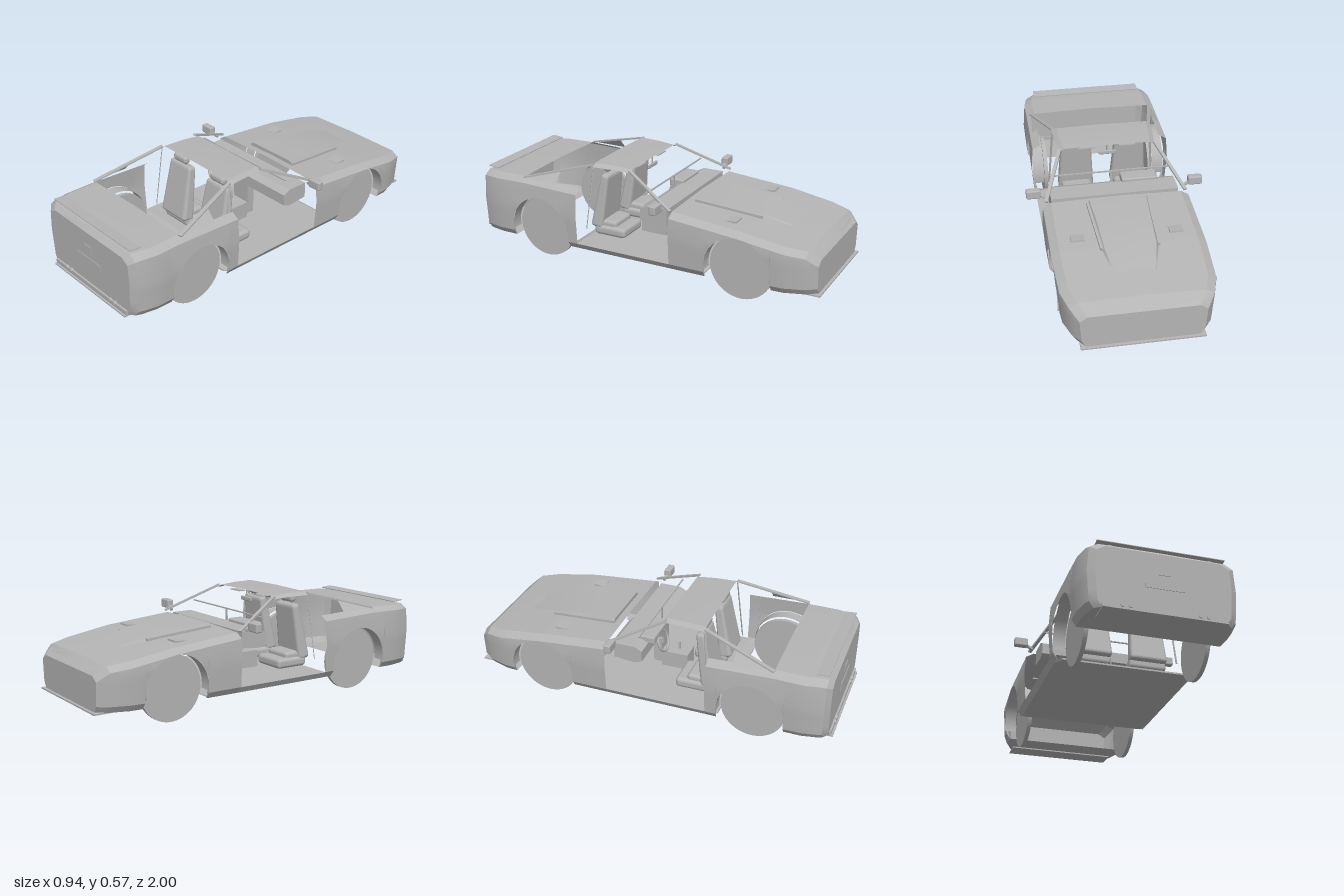
import * as THREE from 'three';
import { toCreasedNormals } from 'three/addons/utils/BufferGeometryUtils.js';
import { RoundedBoxGeometry } from 'three/addons/geometries/RoundedBoxGeometry.js';

const grey = new THREE.MeshStandardMaterial({ color: 0xb4b4b4, side: THREE.DoubleSide });
grey.name = 'plain grey';

// piecewise-linear lookup in [[key, value], ...]
function lerpTable(table, k) {
  if (k <= table[0][0]) return table[0][1];
  for (let i = 1; i < table.length; i++) {
    const [k0, v0] = table[i - 1], [k1, v1] = table[i];
    if (k <= k1) return v0 + (v1 - v0) * (k - k0) / (k1 - k0);
  }
  return table[table.length - 1][1];
}

// Skin cross-sections (z ascending, points running from -x over the top to +x).
function loft(sections, { skip = () => false, capStart = false, capEnd = false, closed = () => false } = {}) {
  const pos = [];
  const tri = (a, b, c) => pos.push(...a, ...b, ...c);
  for (let i = 0; i < sections.length - 1; i++) {
    const s = sections[i], t = sections[i + 1], n = s.length, zm = (s[0][2] + t[0][2]) / 2;
    for (let j = 0; j < n; j++) {
      if (j === n - 1 ? !closed(zm) : skip(zm, j)) continue;
      const k = (j + 1) % n;
      tri(s[j], t[j], s[k]);
      tri(s[k], t[j], t[k]);
    }
  }
  const cap = (s, flip) => {
    const c = [0, s[0][1], s[0][2]];
    for (let j = 0; j < s.length - 1; j++) flip ? tri(c, s[j], s[j + 1]) : tri(c, s[j + 1], s[j]);
  };
  if (capStart) cap(sections[0], true);
  if (capEnd) cap(sections[sections.length - 1], false);
  const g = new THREE.BufferGeometry();
  g.setAttribute('position', new THREE.Float32BufferAttribute(pos, 3));
  g.computeVertexNormals();
  return toCreasedNormals(g, 0.4);
}

const WHEEL_Y = 0.18, ARCH = 0.178, BASE = 0.107;
const REAR_WHEEL = 0.58, FRONT_WHEEL = -0.585;
const sideWidth = [[0.105, 0.36], [0.14, 0.384], [0.3, 0.395], [0.42, 0.386], [0.46, 0.38]];
const topLine = [[-0.985, 0.285], [-0.93, 0.332], [-0.585, 0.385], [-0.21, 0.418],
  [0.34, 0.445], [0.69, 0.457], [0.93, 0.453], [0.955, 0.448], [0.98, 0.427]];
const inset = [[-0.985, 0.085], [-0.93, 0.045], [-0.83, 0.012], [-0.6, 0], [0.85, 0], [0.95, 0.02], [0.98, 0.06]];
const crown = [[-0.985, 0], [-0.9, 0.008], [0.9, 0.008], [0.98, 0]];

// One body section: side wall above sill or arch, chamfered shoulder, crowned deck
function bodySection(z, wheelZ) {
  const dz = z - wheelZ;
  const low = Math.abs(dz) < ARCH ? WHEEL_Y + Math.sqrt(ARCH * ARCH - dz * dz) : BASE;
  const top = lerpTable(topLine, z), off = lerpTable(inset, z), half = [];
  const belt = top - 0.025;
  const levels = low < 0.14 ? [low, 0.14, 0.2, 0.25, 0.3].map((y) => Math.min(y, belt)) :
    [0, 0.2, 0.4, 0.6, 0.8].map((t) => low + (belt - low) * t);
  [...levels, belt].forEach((y) => half.push([lerpTable(sideWidth, y) - off, y, z]));
  half.push([lerpTable(sideWidth, top) - off - 0.04, top, z]);
  return [...half.map(([x, y]) => [-x, y, z]), [0, top + lerpTable(crown, z), z], ...half.reverse()];
}

function bodyZs(start, end, wheelZ, extra) {
  const zs = [start, end, ...extra, wheelZ - ARCH - 0.0005, wheelZ + ARCH + 0.0005];
  for (let i = 0; i <= 28; i++) zs.push(wheelZ - (ARCH - 0.0003) * Math.cos(Math.PI * i / 28));
  return zs.sort((a, b) => a - b);
}

export function createModel() {
  const car = new THREE.Group();
  car.name = 'openCar';
  const add = (name, geometry, x = 0, y = 0, z = 0, rx = 0) => {
    const m = new THREE.Mesh(geometry, grey);
    m.name = name;
    m.position.set(x, y, z);
    m.rotation.x = rx;
    car.add(m);
    return m;
  };
  // axis-aligned block from its limits
  const block = (name, x0, x1, y0, y1, z0, z1, r = 0, rx = 0) => add(name,
    r ? new RoundedBoxGeometry(x1 - x0, y1 - y0, z1 - z0, 2, r) : new THREE.BoxGeometry(x1 - x0, y1 - y0, z1 - z0),
    (x0 + x1) / 2, (y0 + y1) / 2, (z0 + z1) / 2, rx);
  // straight rod between two points
  const bar = (name, a, b, w, h) => {
    const p = new THREE.Vector3(...a), q = new THREE.Vector3(...b);
    const m = add(name, new THREE.BoxGeometry(w, h, p.distanceTo(q)));
    m.position.copy(p).lerp(q, 0.5);
    m.lookAt(q);
    return m;
  };

  // Body shells
  const deckEdge = 6;
  add('tailBody', loft(
    bodyZs(0.343, 0.98, REAR_WHEEL, [0.69, 0.8, 0.85, 0.93, 0.955]).map((z) => bodySection(z, REAR_WHEEL)),
    { skip: (z, j) => z < 0.69 && (j === deckEdge || j === deckEdge + 1), closed: (z) => z > 0.76, capEnd: true }));
  add('noseBody', loft(
    bodyZs(-0.985, -0.21, FRONT_WHEEL, [-0.96, -0.93, -0.88, -0.83, -0.3]).map((z) => bodySection(z, FRONT_WHEEL)),
    { closed: (z) => z < -0.764, capStart: true }));

  // Hood bulge with side strips
  const bulge = [[-0.78, 0.095, 0.002], [-0.62, 0.13, 0.018], [-0.4, 0.14, 0.024], [-0.25, 0.15, 0.022]];
  add('hoodBulge', loft(bulge.map(([z, w, h]) => {
    const y = lerpTable(topLine, z) + 0.004;
    return [[-w - 0.015, y - 0.005, z], [-w, y + h, z], [w, y + h, z], [w + 0.015, y - 0.005, z]];
  }), { capEnd: true }));

  // Floor pan with tapered sills
  add('floorPan', loft([[-0.39, 0.11], [-0.35, 0.138], [0.35, 0.138], [0.4, 0.115]].map(([z, y]) => {
    const w = z > 0.36 ? 0.345 : Math.abs(z) > 0.36 ? 0.36 : 0.38;
    return [[-w + 0.02, 0.106, z], [-w, y, z], [w, y, z], [w - 0.02, 0.106, z]];
  }), { closed: () => true, capStart: true, capEnd: true }));

  // Bumper lips, exhausts and plates
  block('rearLip', -0.305, 0.305, 0.1, 0.13, 0.975, 0.99);
  block('rearUndertray', -0.305, 0.305, 0.1, 0.107, 0.89, 1.0);
  block('frontSplitter', -0.305, 0.305, 0.1, 0.108, -1.0, -0.89);
  block('numberPlate', -0.097, 0.097, 0.241, 0.281, 0.98, 0.983);
  block('fillerPanel', -0.03, 0.028, 0.315, 0.354, 0.98, 0.983);
  const spoiler = block('rearSpoiler', -0.32, 0.32, 0.464, 0.468, 0.893, 0.957);
  spoiler.rotation.x = -0.08;

  for (const s of [-1, 1]) {
    // Wheels and arch linings
    for (const z of [REAR_WHEEL, FRONT_WHEEL]) {
      add('wheel', new THREE.CylinderGeometry(0.172, 0.172, 0.022, 56), s * 0.307, 0.176, z).rotation.z = Math.PI / 2;
      const lining = new THREE.CylinderGeometry(ARCH, ARCH, 0.065, 32, 1, true, -0.15, Math.PI + 0.3);
      add('archLining', lining, s * 0.353, WHEEL_Y, z).rotation.z = Math.PI / 2;
    }
    for (const x of [0.17, 0.208])
      add('exhaust', new THREE.CylinderGeometry(0.011, 0.011, 0.05, 12), s * x, 0.126, 0.97).rotation.x = Math.PI / 2;
    block('spoilerFoot', s * 0.25 - 0.01, s * 0.25 + 0.01, 0.45, 0.466, 0.915, 0.935);

    // Hood details
    bar('hoodStrip', [s * 0.16, 0.421, -0.25], [s * 0.143, 0.389, -0.62], 0.014, 0.02);
    block('lampCover', s * 0.25 - 0.035, s * 0.25 + 0.035, 0.391, 0.4, -0.54, -0.48, 0, 0.09);

    // Door mirrors
    block('doorMirror', s * 0.431 - 0.038, s * 0.431 + 0.038, 0.427, 0.476, -0.178, -0.14, 0.008);
    bar('mirrorArm', [s * 0.365, 0.425, -0.17], [s * 0.4, 0.44, -0.16], 0.015, 0.012);

    // Pillars and rear quarter panel
    bar('windscreenPillar', [s * 0.37, 0.425, -0.21], [s * 0.26, 0.56, 0.085], 0.018, 0.01);
    bar('rearPillar', [s * 0.27, 0.562, 0.3], [s * 0.357, 0.456, 0.69], 0.022, 0.008);
    bar('beltStrap', [s * 0.275, 0.545, 0.3], [s * 0.3, 0.2, 0.335], 0.012, 0.004);
    const panel = new THREE.BufferGeometry().setFromPoints([[0.36, 0.456, 0.69], [0.308, 0.517, 0.48], [0.372, 0.448, 0.48]]
      .map(([x, y, z]) => new THREE.Vector3(s * x, y, z)));
    panel.setIndex(s > 0 ? [0, 2, 1] : [0, 1, 2]);
    panel.computeVertexNormals();
    add('quarterPanel', panel);

    // Seats
    const cx = s * 0.15;
    block('seatBase', cx - 0.1, cx + 0.1, 0.155, 0.21, 0.13, 0.32, 0.02);
    block('seatCushion', cx - 0.085, cx + 0.085, 0.19, 0.24, 0.19, 0.31, 0.02);
    const back = new RoundedBoxGeometry(0.2, 0.31, 0.075, 3, 0.02);
    const p = back.attributes.position;
    for (let i = 0; i < p.count; i++) {
      const t = (p.getY(i) + 0.155) / 0.31;
      p.setXYZ(i, p.getX(i) * (t > 0.9 ? 0.84 : 1), p.getY(i), p.getZ(i) * (1 - 0.4 * t));
    }
    back.computeVertexNormals();
    add('seatBack', back, cx, 0.345, 0.283, -0.17);
    block('headrest', cx - 0.052, cx + 0.052, 0.505, 0.55, 0.245, 0.285, 0.018);
    for (const d of [-0.035, 0.035])
      block('headrestPost', cx + d - 0.005, cx + d + 0.005, 0.48, 0.515, 0.262, 0.27);
    block('sunVisor', s * 0.11 - 0.045, s * 0.11 + 0.045, 0.545, 0.55, 0.09, 0.13);
  }

  // Roof panel, gently crowned
  add('roof', loft([[0.08, 0.235, 0.562], [0.18, 0.245, 0.568], [0.3, 0.255, 0.568]].map(([z, w, y]) =>
    [[-w - 0.025, y - 0.016, z], [-w, y, z], [0, y + 0.004, z], [w, y, z], [w + 0.025, y - 0.016, z]])));

  // Cabin fittings
  add('dashboard', loft([[-0.175, 0.415, 0.33], [-0.06, 0.415, 0.32], [-0.02, 0.395, 0.335]].map(([z, y, b]) =>
    [[-0.34, b, z], [-0.34, y, z], [0.34, y, z], [0.34, b, z]]), { closed: () => true, capStart: true, capEnd: true }));
  block('instrumentHood', -0.25, -0.055, 0.39, 0.432, -0.07, 0.015, 0.008);
  bar('dashRail', [-0.33, 0.473, -0.04], [0.33, 0.473, -0.04], 0.008, 0.006);
  block('railPost', -0.005, 0.005, 0.4, 0.473, -0.044, -0.036);
  add('steeringWheel', new THREE.TorusGeometry(0.058, 0.007, 8, 28), -0.15, 0.365, 0.025, -0.35);
  bar('steeringColumn', [-0.15, 0.365, 0.025], [-0.15, 0.345, -0.05], 0.025, 0.025);
  block('centreStack', -0.055, 0.055, 0.16, 0.335, -0.065, -0.02);
  block('centreConsole', -0.055, 0.055, 0.138, 0.23, -0.02, 0.13);
  block('gearLever', -0.005, 0.005, 0.23, 0.275, 0.06, 0.07);
  block('cabinMirror', -0.049, 0.047, 0.503, 0.526, 0.085, 0.097, 0.005);
  block('cabinMirrorStem', -0.004, 0.004, 0.52, 0.566, 0.09, 0.096);
  return car;
}
